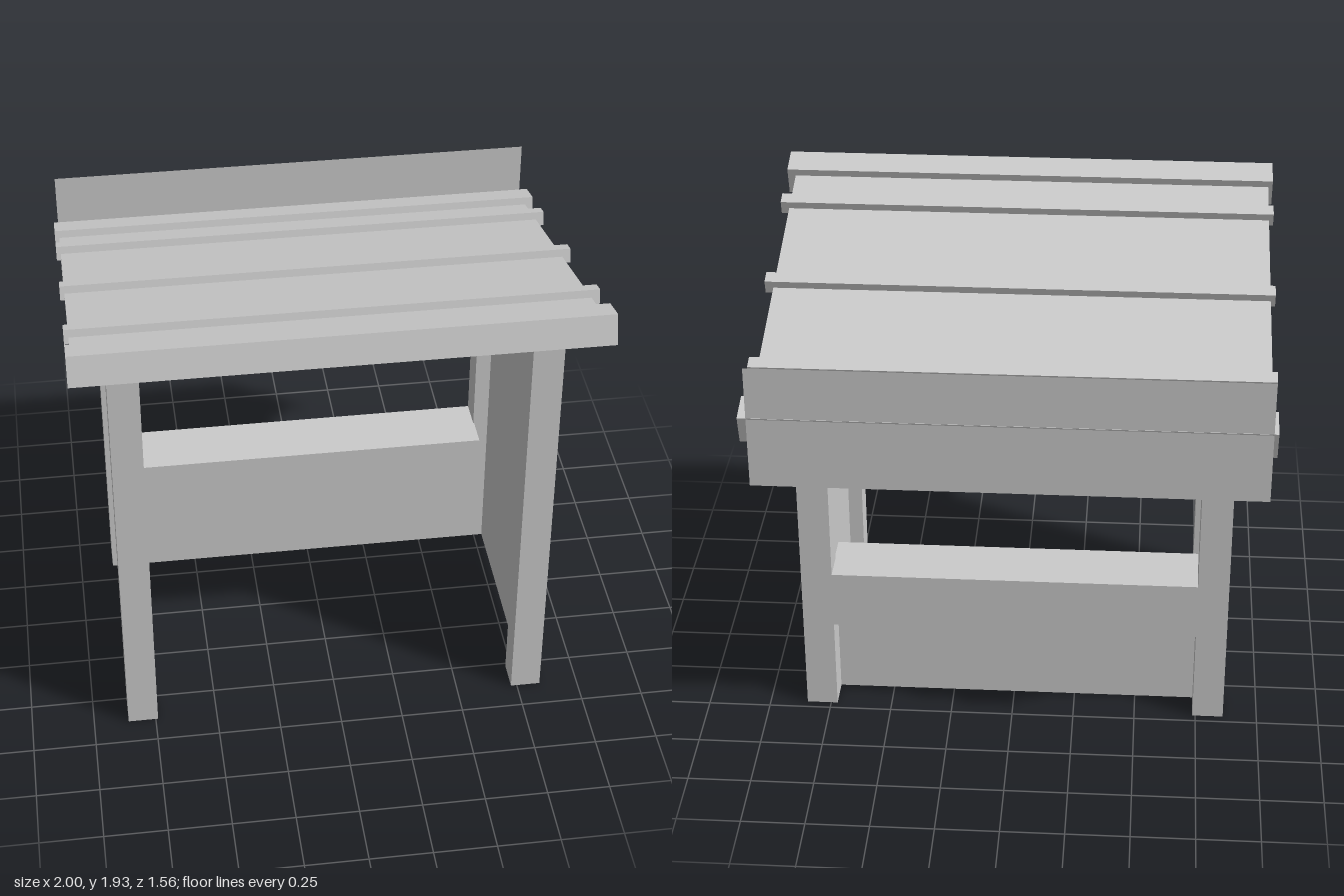
import * as THREE from 'three';

const solid = new THREE.MeshStandardMaterial({ color: 0xcccccc, flatShading: true });
const sheet = new THREE.MeshStandardMaterial({ color: 0xcccccc, flatShading: true, side: THREE.DoubleSide });

const TILT = THREE.MathUtils.degToRad(15);
const MID = -0.0075; // the frame sits slightly off centre in x
const eaveY = (z) => 1.636 + Math.tan(TILT) * z; // underside line of the roof edge

function add(parent, name, geometry, material, x = 0, y = 0, z = 0) {
  const mesh = new THREE.Mesh(geometry, material);
  mesh.name = name;
  mesh.position.set(x, y, z);
  parent.add(mesh);
  return mesh;
}

// Hollow square post whose top follows the roof slope
function postGeometry(size, z) {
  const g = new THREE.CylinderGeometry(size / Math.SQRT2, size / Math.SQRT2, 1, 4, 1, true);
  g.rotateY(Math.PI / 4);
  const p = g.attributes.position;
  for (let i = 0; i < p.count; i++) {
    p.setY(i, p.getY(i) > 0 ? eaveY(z + p.getZ(i)) : 0);
  }
  g.computeVertexNormals();
  return g;
}

// Flat polygon from [x, y] corners
const flat = (pts) => new THREE.ShapeGeometry(new THREE.Shape(pts.map(([x, y]) => new THREE.Vector2(x, y))));

export function createModel() {
  const model = new THREE.Group();
  model.name = 'stall';

  // Posts and side walls
  const frontZ = 0.575, backZ = -0.403;
  for (const side of [-1, 1]) {
    const x = MID + side * 0.793;
    const label = side > 0 ? 'left' : 'right';
    add(model, label + 'FrontPost', postGeometry(0.12, frontZ), solid, x, 0, frontZ);
    add(model, label + 'BackPost', postGeometry(0.124, backZ), solid, x, 0, backZ);
    const wall = flat([[-0.515, 0], [0.34, 0], [0.34, eaveY(-0.34)], [-0.515, eaveY(0.515)]]);
    wall.rotateY(Math.PI / 2);
    add(model, label + 'Wall', wall, sheet, x, 0, 0);
  }

  // Counter, lower panel and stepped apron
  add(model, 'counter', new THREE.BoxGeometry(1.47, 0.24, 0.245), solid, MID, 0.51, -0.3425);
  add(model, 'lowerPanel', new THREE.PlaneGeometry(1.586, 0.39), sheet, MID, 0.195, -0.34);
  const steps = [[0.5, 0.35], [0.37, 0.29], [0.25, 0.21], [0.12, 0.11]]; // half width, bottom
  const half = [];
  let y = 0.39;
  for (const [w, bottom] of steps) {
    half.push([w, y], [w, bottom]);
    y = bottom;
  }
  const mirrored = half.map(([x, h]) => [-x, h]).reverse();
  add(model, 'steppedApron', flat([...half, ...mirrored]), sheet, MID, 0, -0.465);

  // Sloping roof
  const roof = new THREE.Group();
  roof.name = 'roof';
  roof.position.y = 1.667;
  roof.rotation.x = -TILT;
  model.add(roof);

  const top = new THREE.PlaneGeometry(1.95, 1.42).rotateX(-Math.PI / 2);
  add(roof, 'roofSheet', top, sheet, MID, 0.03, 0);
  for (const side of [-1, 1]) {
    const edge = new THREE.PlaneGeometry(1.42, 0.06).rotateY(side * Math.PI / 2);
    add(roof, 'roofEdge', edge, sheet, MID + side * 0.975, 0, 0);
    add(roof, side > 0 ? 'frontBeam' : 'backBeam', new THREE.BoxGeometry(2, 0.12, 0.12), solid, 0, 0, side * 0.734);
  }
  for (const z of [-0.49, 0, 0.49]) {
    add(roof, 'batten', new THREE.BoxGeometry(2, 0.057, 0.057), solid, 0, 0.032, z);
  }

  // Flat sign board along the back
  add(model, 'backBoard', new THREE.PlaneGeometry(1.95, 0.5), sheet, MID, 1.48, -0.781);

  return model;
}
